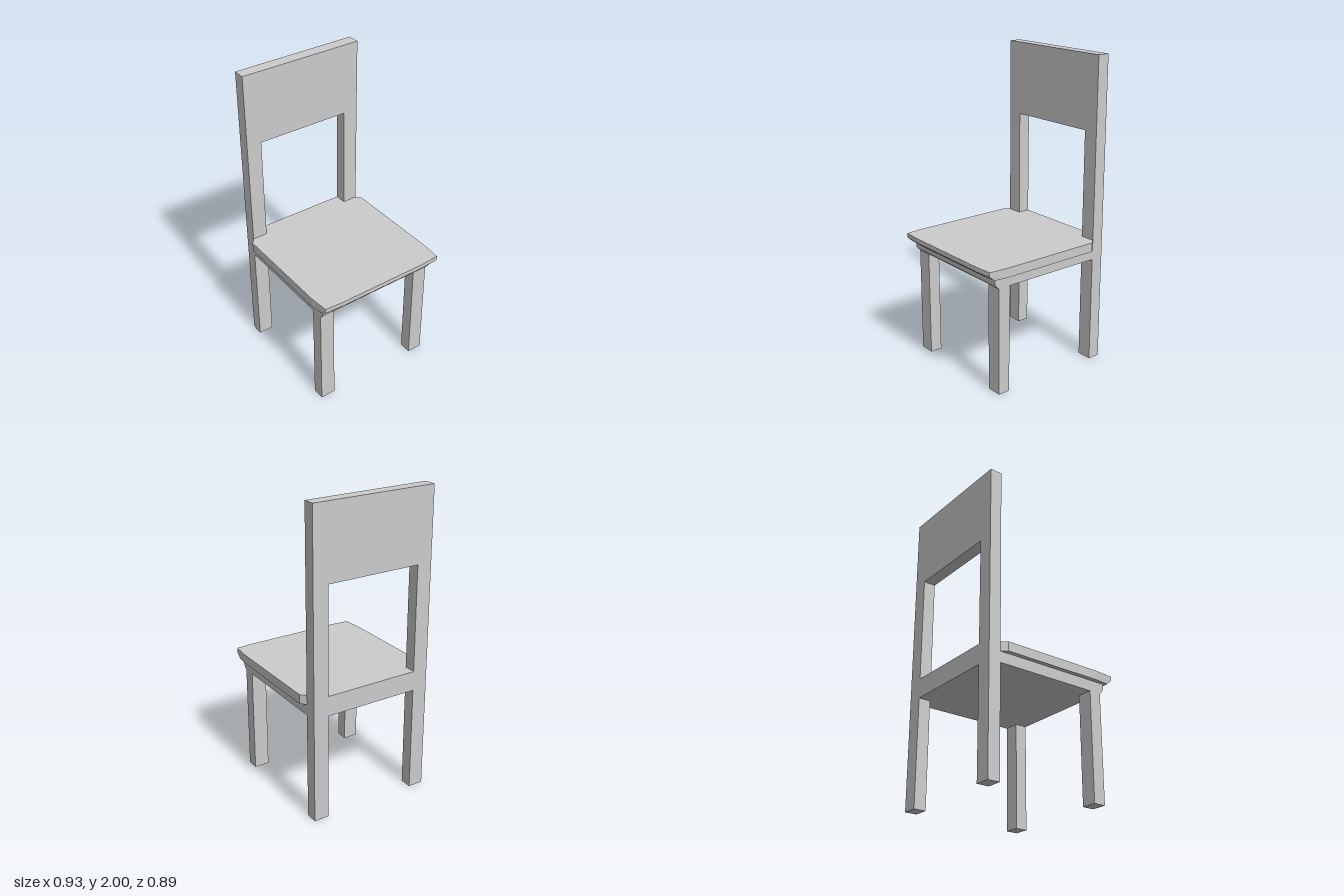
import * as THREE from 'three';

const material = new THREE.MeshStandardMaterial({ color: 0xcccccc });

const polygon = (points) => new THREE.Shape(points.map(([x, y]) => new THREE.Vector2(x, y)));

function addMesh(group, name, geometry) {
  const mesh = new THREE.Mesh(geometry, material);
  mesh.name = name;
  group.add(mesh);
  return mesh;
}

export function createModel() {
  const chair = new THREE.Group();
  chair.name = 'chair';

  // Back frame: rear legs, rear rail and top panel in one board with two openings
  const halfWidth = 0.415, inner = 0.315, thickness = 0.08;
  const frame = polygon([
    [-halfWidth, 0], [-inner, 0], [-inner, 0.7], [inner, 0.7], [inner, 0],
    [halfWidth, 0], [halfWidth, 2], [-halfWidth, 2],
  ]);
  frame.holes.push(polygon([[-inner, 0.83], [-inner, 1.525], [inner, 1.525], [inner, 0.83]]));
  const frameGeometry = new THREE.ExtrudeGeometry(frame, { depth: thickness, bevelEnabled: false });
  frameGeometry.rotateY(Math.PI / 2).translate(-0.465, 0, 0);
  addMesh(chair, 'backFrame', frameGeometry);

  // Seat base: side profile with a flared front edge, run across the width
  const base = polygon([
    [-0.385, 0.7], [0.375, 0.7], [0.393, 0.718], [0.403, 0.735], [0.405, 0.77], [-0.385, 0.77],
  ]);
  const baseGeometry = new THREE.ExtrudeGeometry(base, { depth: 2 * halfWidth, bevelEnabled: false });
  baseGeometry.translate(0, 0, -halfWidth);
  addMesh(chair, 'seatBase', baseGeometry);

  // Front legs
  for (const side of [1, -1]) {
    const leg = addMesh(chair, side > 0 ? 'leftFrontLeg' : 'rightFrontLeg',
      new THREE.BoxGeometry(0.08, 0.7, 0.1));
    leg.position.set(0.335, 0.35, side * 0.365);
  }

  // Seat board: clipped rear corners, gently rounded front corners
  const half = [[-0.385, 0.415], [-0.35, 0.445], [0.33, 0.445], [0.457, 0.434], [0.465, 0.31]];
  const mirrored = half.map(([x, z]) => [x, -z]).reverse();
  const seatGeometry = new THREE.ExtrudeGeometry(polygon([...half, ...mirrored]),
    { depth: 0.06, steps: 2, bevelEnabled: false });
  seatGeometry.rotateX(-Math.PI / 2).translate(0, 0.77, 0);
  // Undercut the lower front edge
  const position = seatGeometry.attributes.position;
  for (let i = 0; i < position.count; i++) {
    if (position.getX(i) > 0.4 && position.getY(i) < 0.78) {
      position.setX(i, position.getX(i) - 0.035);
    }
  }
  seatGeometry.computeVertexNormals();
  addMesh(chair, 'seatBoard', seatGeometry);

  return chair;
}
